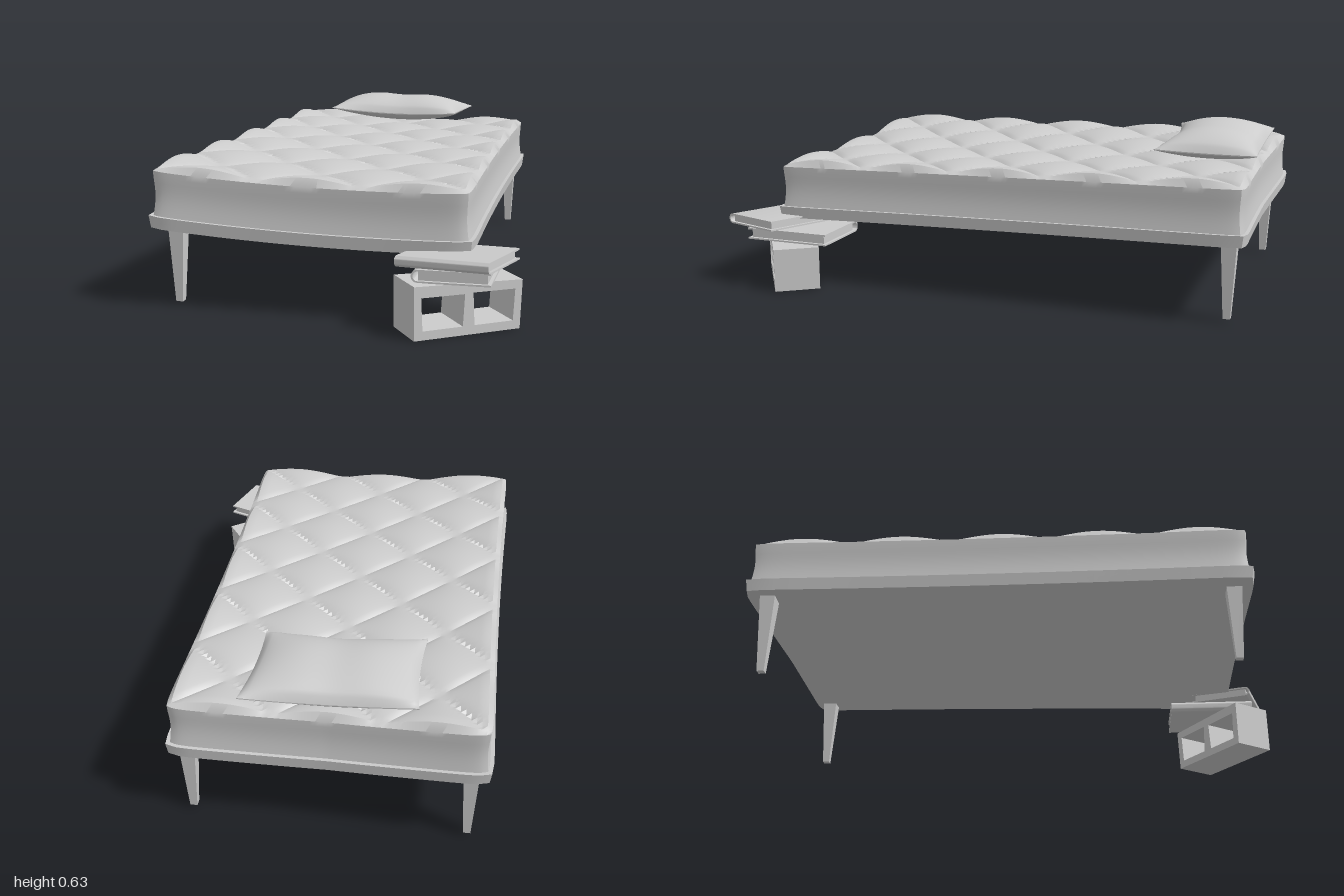
import * as THREE from 'three';
import { toCreasedNormals } from 'three/addons/utils/BufferGeometryUtils.js';

const material = new THREE.MeshStandardMaterial({ color: 0xcccccc, side: THREE.DoubleSide });

function addMesh(parent, name, geometry) {
  const mesh = new THREE.Mesh(geometry, material);
  mesh.name = name;
  parent.add(mesh);
  return mesh;
}

// Move every vertex of a geometry by a rule
function reshape(geometry, rule) {
  const p = geometry.attributes.position;
  const v = new THREE.Vector3();
  for (let i = 0; i < p.count; i++) {
    v.fromBufferAttribute(p, i);
    rule(v);
    p.setXYZ(i, v.x, v.y, v.z);
  }
  geometry.computeVertexNormals();
  return geometry;
}

// Height of the sagging bed base at u (left-right) and v (back-front), both -1..1
function baseHeight(u, v) {
  const a = (u + 1) / 2, b = (v + 1) / 2;
  const back = 0.312 * (1 - a) + 0.288 * a;
  const front = 0.29 * (1 - a) + 0.255 * a;
  return back * (1 - b) + front * b - 0.02 * (1 - u * u);
}

// Warp a point of the unit slab onto the crooked bed outline
function warp(p, u, v, height, inset) {
  const corner = 1 - 0.015 * Math.pow(Math.abs(u * v), 20);
  const s = inset * corner;
  const skew = u < 0 && v < 0 ? 0.02 * u * v : 0;
  p.x = -0.085 + u * s * (0.567 + 0.01 * v - 0.013 * (1 - v * v));
  p.z = -0.065 - skew + v * (s + (1 - inset) * 0.4) * (0.912 - 0.014 * (1 - u * u));
  p.y = baseHeight(u, v) + height;
}

function frameGeometry() {
  return reshape(new THREE.BoxGeometry(2, 1, 2, 24, 2, 32), (p) => {
    const t = p.y + 0.5;
    warp(p, p.x, p.z, 0.044 * t, 0.99 + 0.01 * t);
  });
}

// Mattress with pinched sides and diamond quilting, three by five diamonds
function mattressGeometry() {
  const geometry = reshape(new THREE.BoxGeometry(2, 1, 2, 60, 8, 100), (p) => {
    const u = p.x, v = p.z, t = p.y + 0.5;
    let height = 0.036 + 0.164 * t;
    if (t > 0.999) {
      const a = u * 1.5, b = v * 2.5;
      const seam = Math.abs(Math.sin(Math.PI * (a + b)) * Math.sin(Math.PI * (a - b)));
      const edge = Math.min(1, (1 - Math.abs(u)) / 0.06, (1 - Math.abs(v)) / 0.04);
      const rim = Math.sqrt(1 - (1 - edge) ** 2);
      height += rim * (0.008 + 0.026 * Math.pow(seam, 0.6));
    }
    warp(p, u, v, height, 0.978 - 0.014 * Math.sin(Math.PI * t) - 0.006 * t ** 8);
  });
  return toCreasedNormals(geometry, 0.6);
}

// Cushion: thin at the seam, full inside, with a dip along the middle
function pillowGeometry() {
  return reshape(new THREE.BoxGeometry(2, 1, 2, 36, 1, 28), (p) => {
    const s = p.x, t = p.z, top = p.y > 0;
    const full = Math.pow((1 - s * s) * (1 - t * t), 0.55);
    const seam = 0.556 - 0.008 * s + 0.012 * (s * s - 0.5) + 0.005 * s * s * t * t;
    const dip = 0.014 * Math.exp(-8 * s * s);
    p.y = top ? seam + 0.002 + full * (0.086 - dip) : seam - 0.002 - full * 0.036;
    p.x = -0.096 + s * (0.29 - 0.012 * (1 - t * t)) - 0.012 * Math.max(0, s) * t;
    p.z = -0.768 + t * (0.19 - (t > 0 ? 0.028 : 0.012) * (1 - s * s)) - 0.005 * s * t * t;
  });
}

// Tapered square leg, wide end up
function legGeometry(height) {
  const foot = 0.013 * Math.SQRT2, top = 0.028 * Math.SQRT2;
  const geometry = new THREE.CylinderGeometry(top, foot, height, 4, 1);
  return toCreasedNormals(geometry.rotateY(Math.PI / 4), 0.3);
}

// Hollow block with two openings running through it
function blockGeometry() {
  const w = 0.195, h = 0.175;
  const shape = new THREE.Shape([
    new THREE.Vector2(-w, 0), new THREE.Vector2(w - 0.008, 0),
    new THREE.Vector2(w, h - 0.008), new THREE.Vector2(-w, h + 0.004),
  ]);
  for (const [x0, x1] of [[-0.17, -0.015], [0.015, 0.168]]) {
    shape.holes.push(new THREE.Path([
      new THREE.Vector2(x0 + 0.005, 0.03), new THREE.Vector2(x0, h - 0.035),
      new THREE.Vector2(x1, h - 0.037), new THREE.Vector2(x1 - 0.007, 0.03),
    ]));
  }
  return new THREE.ExtrudeGeometry(shape, { depth: 0.17, bevelEnabled: false }).translate(0, 0, -0.085);
}

// Closed book lying flat: rounded spine at -x, length along z
function makeBook(name, width, length, thick) {
  const book = new THREE.Group();
  book.name = name;
  const r = thick / 2, w = width / 2, c = 0.006;
  const cover = new THREE.Shape();
  cover.moveTo(w, r);
  cover.lineTo(-w + r, r);
  cover.absarc(-w + r, 0, r, Math.PI / 2, Math.PI * 1.5, false);
  cover.lineTo(w, -r);
  cover.lineTo(w, -r + c);
  cover.lineTo(-w + r, -r + c);
  cover.absarc(-w + r, 0, r - c, Math.PI * 1.5, Math.PI / 2, true);
  cover.lineTo(w, r - c);
  const geometry = new THREE.ExtrudeGeometry(cover, { depth: length, bevelEnabled: false, curveSegments: 8 });
  addMesh(book, 'cover', toCreasedNormals(geometry.translate(0, 0, -length / 2), 0.6));
  addMesh(book, 'pages', new THREE.BoxGeometry(width - r - 0.012, thick - 2 * c, length - 0.024))
    .position.x = r / 2 - 0.006;
  return book;
}

export function createModel() {
  const model = new THREE.Group();
  model.name = 'bed';

  addMesh(model, 'bedFrame', frameGeometry());
  addMesh(model, 'mattress', mattressGeometry());
  addMesh(model, 'pillow', pillowGeometry());

  // Three legs; the fourth corner rests on the block and books
  const legs = [['backRightLeg', -0.57, -0.91, 0.31], ['backLeftLeg', 0.4, -0.91, 0.3], ['frontRightLeg', -0.57, 0.77, 0.295]];
  for (const [name, x, z, top] of legs) {
    const height = top - 0.015;
    addMesh(model, name, legGeometry(height)).position.set(x, 0.015 + height / 2, z);
  }

  const block = addMesh(model, 'hollowBlock', blockGeometry());
  block.position.set(0.435, 0, 0.81);
  block.rotation.y = 0.61;

  const lowerBook = makeBook('lowerBook', 0.26, 0.34, 0.044);
  lowerBook.position.set(0.43, 0.199, 0.762);
  model.add(lowerBook);

  const upperBook = makeBook('upperBook', 0.245, 0.335, 0.038);
  upperBook.position.set(0.437, 0.247, 0.848);
  upperBook.rotation.set(-0.05, 1.276, 0, 'YXZ');
  model.add(upperBook);

  return model;
}
